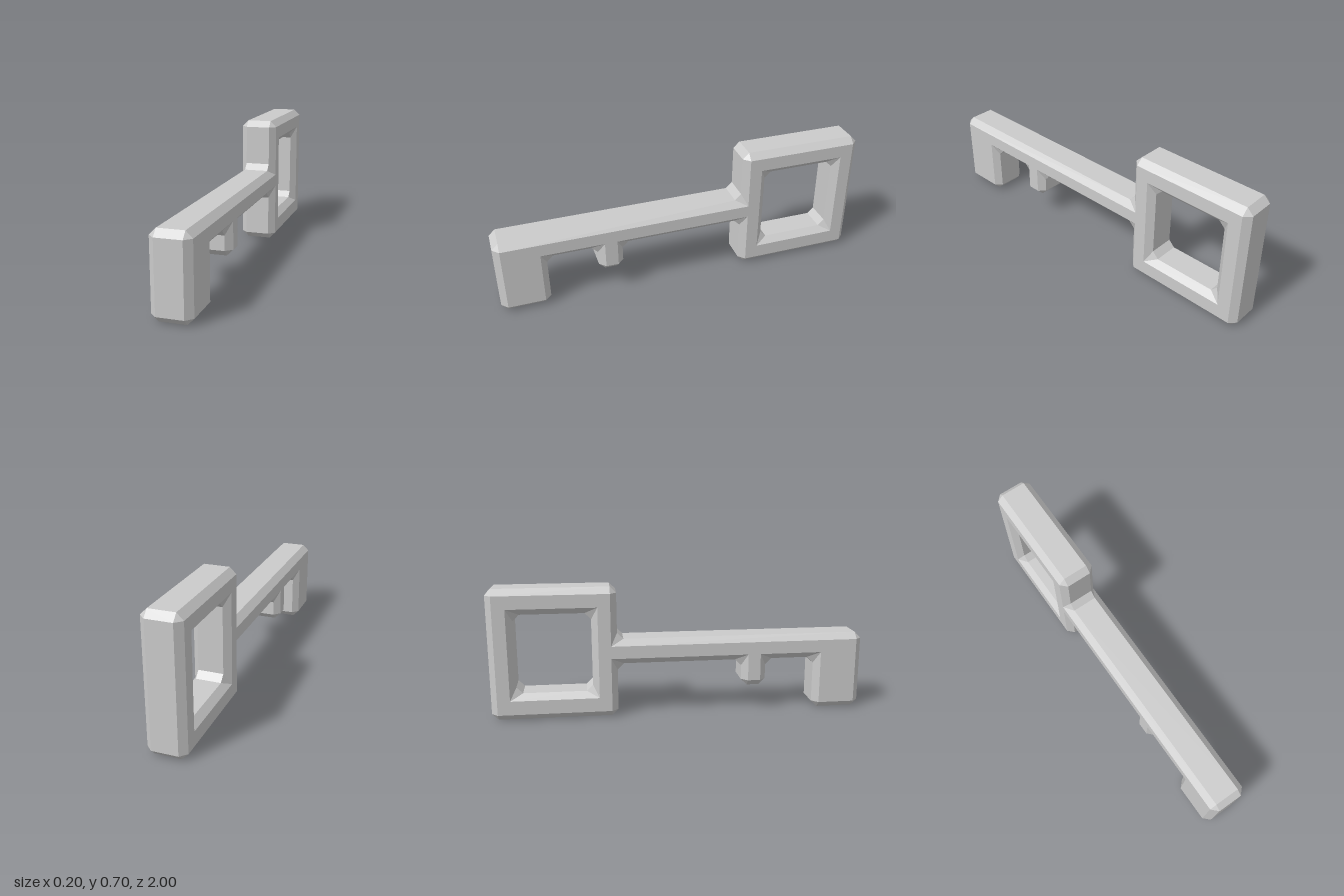
import * as THREE from 'three';

const BEVEL = 0.0333; // chamfer size
const FACE = 0.1; // half thickness at the flat side faces
const EDGE = FACE - BEVEL; // half thickness at the outer walls

// Side-face outlines, drawn with the bow to the right and solid on the left hand of travel
const V = (pts) => pts.map(([x, y]) => new THREE.Vector2(x, y));
const outline = V([
  [-0.967, 0.033], [-0.77, 0.033], [-0.77, 0.32], // large tooth
  [-0.435, 0.32], [-0.435, 0.175], [-0.368, 0.175], [-0.368, 0.32], // small tooth
  [0.367, 0.32], [0.367, 0.033], [0.967, 0.033], [0.967, 0.667], [0.367, 0.667], // bow
  [0.367, 0.387], [-0.967, 0.387], // shaft top
]);
const hole = V([[0.433, 0.108], [0.433, 0.597], [0.9, 0.597], [0.9, 0.108]]);

// Each face corner becomes two points on the outer wall, so corners are cut both ways
function wallCorners(loop) {
  const n = loop.length;
  const normal = (a, b) => {
    const d = b.clone().sub(a).normalize();
    return new THREE.Vector2(d.y, -d.x);
  };
  return loop.map((f, i) => {
    const n1 = normal(loop[(i + n - 1) % n], f);
    const n2 = normal(f, loop[(i + 1) % n]);
    const k = n1.cross(n2) > 0 ? 0 : 2; // inner corners get a fillet
    const at = (a, b) => f.clone().addScaledVector(n1, a * BEVEL).addScaledVector(n2, b * BEVEL);
    return k ? { f, p: at(1, 2), q: at(2, 1) } : { f, p: at(1, 0), q: at(0, 1) };
  });
}

function keyGeometry() {
  const pos = [];
  const tri = (...pts) => pts.forEach(([v, z]) => pos.push(v.x, v.y, z));
  const quad = (a, b, c, d) => { tri(a, b, c); tri(a, c, d); };
  // Adds a polygon on one side and its mirror image on the other
  const both = (...pts) => {
    const back = pts.map(([v, z]) => [v, -z]).reverse();
    for (const side of [pts, back]) (side.length === 4 ? quad : tri)(...side);
  };

  // Flat side faces
  const all = [...outline, ...hole];
  for (const t of THREE.ShapeUtils.triangulateShape(outline, [hole])) {
    both(...t.map((i) => [all[i], FACE]));
  }

  // Walls and bevels around the outline and the hole
  for (const loop of [outline, hole]) {
    const corners = wallCorners(loop);
    corners.forEach(({ f, p, q }, i) => {
      const next = corners[(i + 1) % corners.length];
      quad([p, -EDGE], [q, -EDGE], [q, EDGE], [p, EDGE]);
      quad([q, -EDGE], [next.p, -EDGE], [next.p, EDGE], [q, EDGE]);
      both([p, EDGE], [q, EDGE], [f, FACE]);
      both([q, EDGE], [next.p, EDGE], [next.f, FACE], [f, FACE]);
    });
  }

  const geometry = new THREE.BufferGeometry();
  geometry.setAttribute('position', new THREE.Float32BufferAttribute(pos, 3));
  geometry.rotateY(Math.PI / 2); // teeth toward the front
  geometry.computeVertexNormals();
  return geometry;
}

export function createModel() {
  const group = new THREE.Group();
  group.name = 'key';
  const material = new THREE.MeshStandardMaterial({ color: 0xcccccc, flatShading: true });
  const body = new THREE.Mesh(keyGeometry(), material);
  body.name = 'keyBody';
  group.add(body);
  return group;
}
